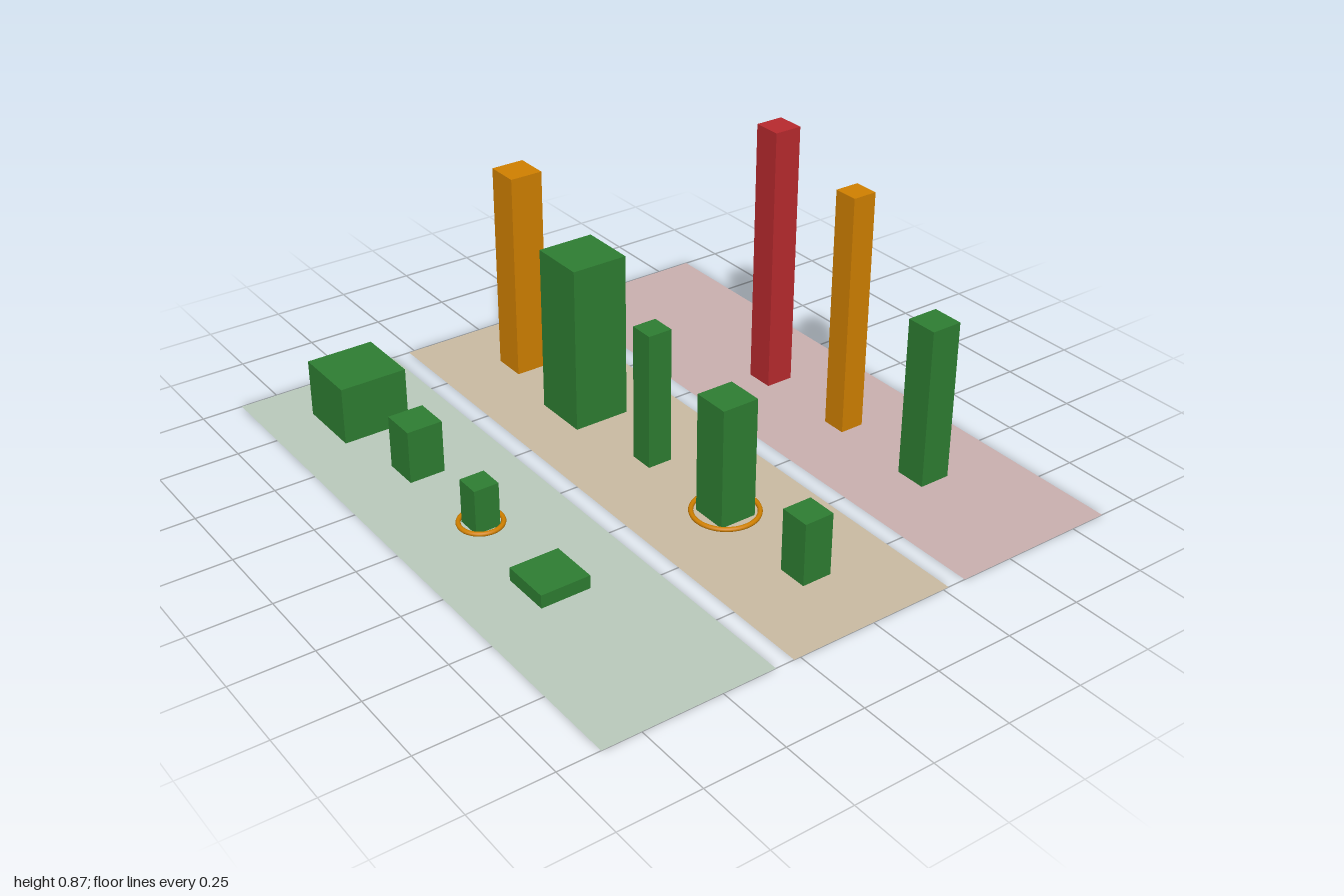
import * as THREE from 'three';

const mat = (name, color, side = THREE.FrontSide) => {
  const m = new THREE.MeshStandardMaterial({ color, side });
  m.name = name;
  return m;
};

export function createModel() {
  const group = new THREE.Group();
  const green = mat('green', 0x2e7d32);
  const orange = mat('orange', 0xd08000);
  const red = mat('red', 0xb82a2e);

  // Each lane: floor panel plus square columns [x, width, height, material]
  const lanes = [
    { name: 'front', z: 0.6, floor: mat('paleGreen', 0xbacabc, THREE.DoubleSide), columns: [
      [-0.72, 0.218, 0.188, green], [-0.36, 0.115, 0.172, green],
      [0, 0.08, 0.144, green], [0.36, 0.158, 0.043, green]] },
    { name: 'middle', z: 0, floor: mat('paleTan', 0xcabba2, THREE.DoubleSide), columns: [
      [-0.72, 0.11, 0.687, orange], [-0.36, 0.186, 0.543, green],
      [0, 0.08, 0.445, green], [0.36, 0.12, 0.386, green], [0.72, 0.096, 0.2, green]] },
    { name: 'back', z: -0.6, floor: mat('palePink', 0xcab0af, THREE.DoubleSide), columns: [
      [-0.18, 0.092, 0.872, red], [0.18, 0.08, 0.787, orange], [0.54, 0.102, 0.516, green]] },
  ];

  for (const { name, z, floor, columns } of lanes) {
    const panel = new THREE.Mesh(new THREE.PlaneGeometry(2, 0.54).rotateX(-Math.PI / 2), floor);
    panel.name = `${name}FloorPanel`;
    panel.position.z = z;
    group.add(panel);

    columns.forEach(([x, w, h, material], i) => {
      // Bottom sits just above the panel so the two faces do not coincide
      const box = new THREE.Mesh(new THREE.BoxGeometry(w, h - 0.001, w), material);
      box.name = `${name}Column${i + 1}`;
      box.position.set(x, (h + 0.001) / 2, z);
      group.add(box);
    });
  }

  // Marker rings lying around two of the columns
  for (const [name, x, z, r] of [['frontRing', 0, 0.6, 0.065], ['middleRing', 0.36, 0, 0.1]]) {
    const ring = new THREE.Mesh(new THREE.TorusGeometry(r, 0.0075, 10, 48).rotateX(Math.PI / 2), orange);
    ring.name = name;
    ring.position.set(x, 0.009, z);
    group.add(ring);
  }
  return group;
}
